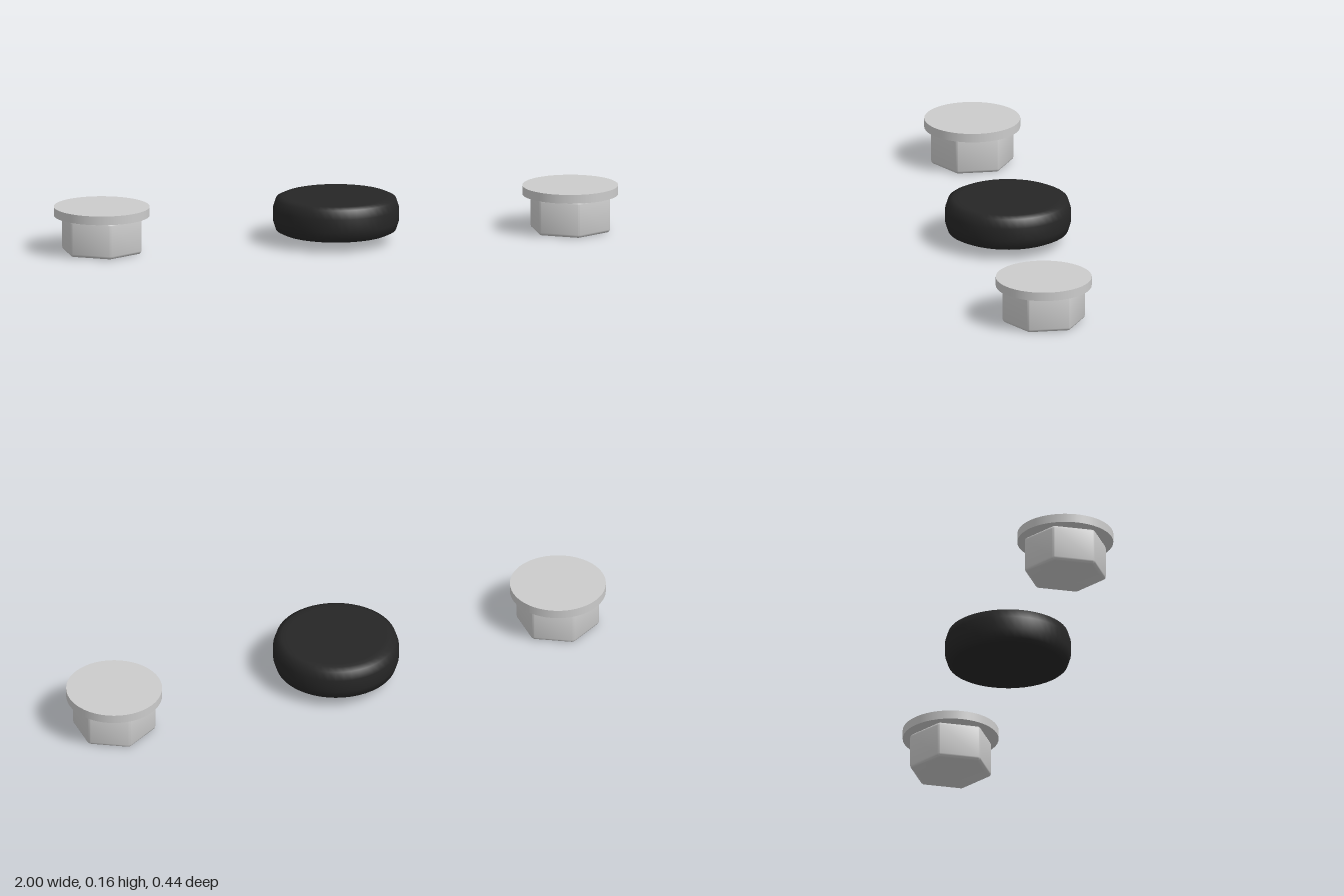
import * as THREE from 'three';
import { toCreasedNormals } from 'three/addons/utils/BufferGeometryUtils.js';

const grey = new THREE.MeshStandardMaterial({ color: 0xcccccc });
const black = new THREE.MeshStandardMaterial({ color: 0x262626 });

function addMesh(parent, name, geometry, material) {
  const mesh = new THREE.Mesh(geometry, material);
  mesh.name = name;
  parent.add(mesh);
  return mesh;
}

// Hexagon outline with small rounded corners, two of them pointing along z
function roundedHexagon(apothem, fillet) {
  const centreRadius = (apothem - fillet) / Math.cos(Math.PI / 6);
  const steps = 4;
  const points = [];
  for (let i = 0; i < 6; i++) {
    const corner = Math.PI / 2 + (i * Math.PI) / 3;
    for (let j = 0; j <= steps; j++) {
      const a = corner + (j / steps - 0.5) * (Math.PI / 3);
      points.push(new THREE.Vector2(
        centreRadius * Math.cos(corner) + fillet * Math.cos(a),
        centreRadius * Math.sin(corner) + fillet * Math.sin(a)
      ));
    }
  }
  return new THREE.Shape(points);
}

// Hexagonal plug with a round flange on top
function createPlug(name, x) {
  const plug = new THREE.Group();
  plug.name = name;
  plug.position.x = x;

  const bevel = 0.011;
  const height = 0.13;
  const hex = new THREE.ExtrudeGeometry(roundedHexagon(0.127, 0.015), {
    depth: height - 2 * bevel,
    bevelEnabled: true,
    bevelThickness: bevel,
    bevelSize: bevel,
    bevelOffset: -bevel,
    bevelSegments: 3
  });
  hex.rotateX(-Math.PI / 2);
  hex.translate(0, bevel, 0);
  addMesh(plug, 'hexBody', toCreasedNormals(hex, 0.7), grey);

  const flange = new THREE.CylinderGeometry(0.167, 0.167, 0.031, 48);
  addMesh(plug, 'flange', flange, grey).position.y = 0.1445;
  return plug;
}

// Solid disc with softened rims
function createPuck() {
  const profile = [
    [0, 0.034], [0.17, 0.034], [0.19, 0.034], [0.209, 0.043], [0.219, 0.074],
    [0.219, 0.12], [0.209, 0.151], [0.19, 0.16], [0.17, 0.16], [0, 0.16]
  ].map(([r, y]) => new THREE.Vector2(r, y));
  return new THREE.LatheGeometry(profile, 48);
}

export function createModel() {
  const model = new THREE.Group();
  model.name = 'plugsAndPuck';
  model.add(createPlug('leftPlug', 0.833), createPlug('rightPlug', -0.833));
  addMesh(model, 'centrePuck', createPuck(), black);
  return model;
}
